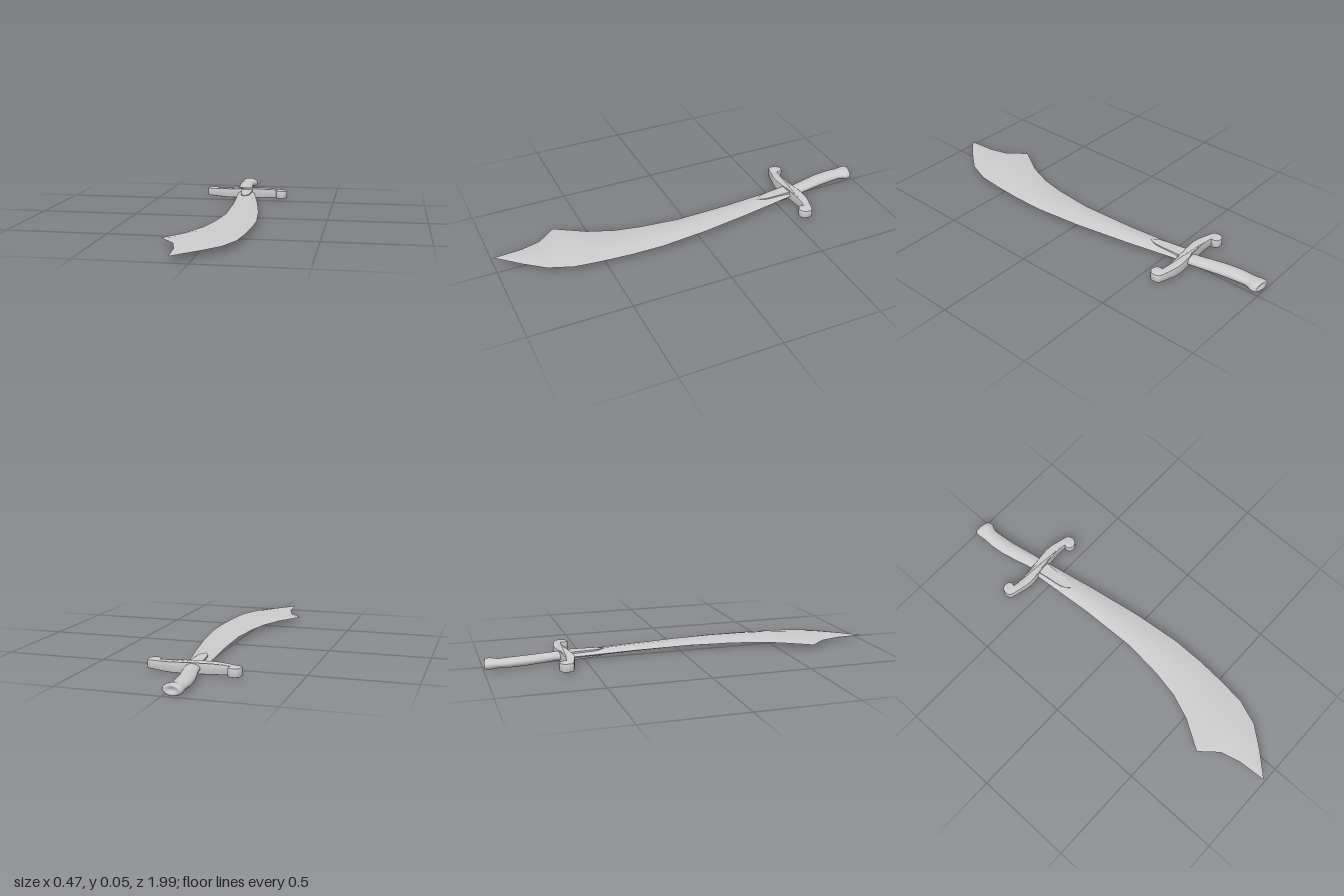
import * as THREE from 'three';
import { toCreasedNormals } from 'three/addons/utils/BufferGeometryUtils.js';

const MID = 0.028; // height of the sword's middle plane
const material = new THREE.MeshStandardMaterial({ color: 0xcccccc });

function addMesh(group, name, geometry) {
  const mesh = new THREE.Mesh(geometry, material);
  mesh.name = name;
  group.add(mesh);
}

function indexed(positions, index) {
  const g = new THREE.BufferGeometry();
  g.setAttribute('position', new THREE.Float32BufferAttribute(positions, 3));
  g.setIndex(index);
  g.computeVertexNormals();
  return g;
}

// Curved blade: lens sections between the inner and the outer edge
function bladeGeometry() {
  // inner x, z, outer x, z, half thickness
  const stations = [
    [-0.05, -0.6, 0.042, -0.6, 0.018],
    [-0.02, -0.24, 0.1, -0.3, 0.015],
    [-0.01, 0.05, 0.145, -0.03, 0.014],
    [-0.03, 0.25, 0.17, 0.21, 0.014],
    [-0.055, 0.38, 0.17, 0.37, 0.013],
    [-0.105, 0.51, 0.16, 0.53, 0.013],
    [-0.198, 0.66, 0.145, 0.66, 0.012],
    [-0.122, 0.75, 0.1, 0.78, 0.009],
    [-0.095, 0.85, 0.02, 0.88, 0.005],
    [-0.085, 0.99, -0.082, 0.99, 0],
  ];
  const across = [[0, 0], [0.2, 0.65], [0.5, 1], [0.8, 0.7], [1, 0]];
  const positions = [], index = [], n = across.length;
  for (const side of [1, -1]) {
    const start = positions.length / 3;
    for (const [xi, zi, xo, zo, h] of stations) {
      for (const [t, k] of across) {
        positions.push(xi + (xo - xi) * t, MID + side * h * k, zi + (zo - zi) * t);
      }
    }
    for (let i = 0; i < stations.length - 1; i++) {
      for (let j = 0; j < n - 1; j++) {
        const a = start + i * n + j, b = a + n, c = a + 1, d = b + 1;
        if (side > 0) index.push(a, b, c, c, b, d);
        else index.push(a, c, b, c, d, b);
      }
    }
  }
  return indexed(positions, index);
}

// Grip with flared pommel: oval rings swept toward the back
function gripGeometry() {
  // z, centre x, half width, half height, slant
  const rings = [
    [-0.59, 0.005, 0.037, 0.021, 0],
    [-0.65, -0.003, 0.037, 0.022, 0.05],
    [-0.72, -0.019, 0.04, 0.023, 0.1],
    [-0.8, -0.036, 0.042, 0.024, 0.15],
    [-0.87, -0.044, 0.041, 0.024, 0.15],
    [-0.925, -0.046, 0.038, 0.022, 0.15],
    [-0.95, -0.044, 0.042, 0.024, 0.15],
    [-0.962, -0.041, 0.047, 0.027, 0.15],
    [-0.98, -0.04, 0.048, 0.027, 0.15],
    [-0.991, -0.04, 0.043, 0.024, 0.15],
    [-0.994, -0.04, 0.032, 0.017, 0.15],
    [-0.987, -0.04, 0.02, 0.01, 0.15],
    [-0.986, -0.04, 0, 0, 0],
  ];
  const sides = 20, positions = [], index = [];
  for (const [z, x, rx, ry, slant] of rings) {
    for (let j = 0; j < sides; j++) {
      const a = (j / sides) * Math.PI * 2, dx = rx * Math.cos(a);
      positions.push(x + dx, MID + ry * Math.sin(a), z + slant * dx);
    }
  }
  for (let i = 0; i < rings.length - 1; i++) {
    for (let j = 0; j < sides; j++) {
      const k = (j + 1) % sides;
      const a = i * sides + j, b = i * sides + k, c = a + sides, d = b + sides;
      index.push(a, c, b, b, c, d);
    }
  }
  return indexed(positions, index);
}

// Extrudes a plan outline (x, z) about the middle plane
function slab(shape, height, bevel) {
  const g = new THREE.ExtrudeGeometry(shape, {
    depth: height - 2 * bevel, bevelEnabled: bevel > 0, bevelSize: bevel,
    bevelThickness: bevel, bevelOffset: -bevel, bevelSegments: 2, curveSegments: 8,
  });
  g.translate(0, 0, bevel - height / 2);
  g.rotateX(Math.PI / 2);
  return g;
}

function scaleHeight(g, rule) {
  const p = g.attributes.position;
  for (let i = 0; i < p.count; i++) p.setY(i, p.getY(i) * rule(p.getX(i), p.getZ(i)));
  return g;
}

// S-shaped crossguard: one arm outline, repeated by a half turn
function guardGeometry() {
  const shape = new THREE.Shape();
  shape.moveTo(0, -0.025);
  for (const s of [1, -1]) {
    const curve = (...v) => shape.bezierCurveTo(...v.map((c) => c * s));
    curve(0.05, -0.03, 0.1, -0.042, 0.15, -0.026);
    curve(0.18, -0.018, 0.21, -0.014, 0.225, -0.004);
    curve(0.234, 0.01, 0.236, 0.03, 0.225, 0.045);
    curve(0.21, 0.063, 0.18, 0.058, 0.173, 0.042);
    curve(0.168, 0.03, 0.172, 0.022, 0.174, 0.018);
    curve(0.12, 0.008, 0.06, 0.022, 0, 0.025);
  }
  const g = scaleHeight(slab(shape, 0.042, 0.004), (x) => 1 + 0.27 * Math.max(0, 1 - (x / 0.2) ** 2));
  g.translate(0, MID, -0.603);
  return toCreasedNormals(g, 0.7);
}

// Pointed tongue over the root of the blade, thinning toward its tip
function langetGeometry() {
  const shape = new THREE.Shape();
  shape.moveTo(-0.033, -0.6);
  shape.lineTo(0.034, -0.6);
  shape.lineTo(0.036, -0.46);
  shape.quadraticCurveTo(0.036, -0.425, 0.016, -0.395);
  shape.quadraticCurveTo(-0.008, -0.42, -0.014, -0.46);
  shape.closePath();
  const g = scaleHeight(slab(shape, 0.042, 0), (x, z) => 1 - 0.9 * Math.max(0, z + 0.58));
  g.translate(0, MID, 0);
  return toCreasedNormals(g, 0.6);
}

export function createModel() {
  const group = new THREE.Group();
  group.name = 'curvedSword';
  addMesh(group, 'blade', bladeGeometry());
  addMesh(group, 'langet', langetGeometry());
  addMesh(group, 'crossguard', guardGeometry());
  addMesh(group, 'grip', gripGeometry());
  return group;
}
